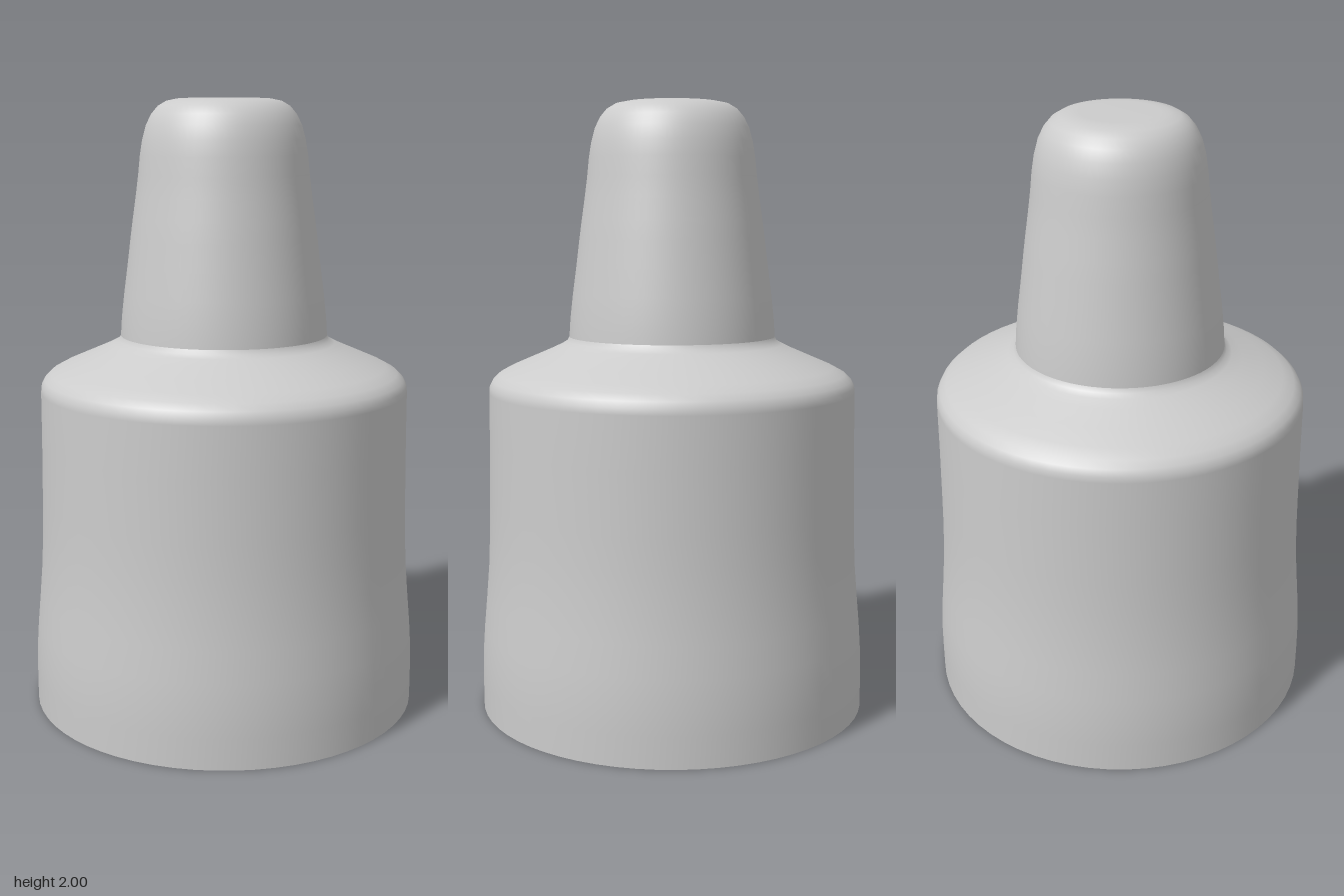
import * as THREE from 'three';

const material = new THREE.MeshStandardMaterial({ color: 0xcccccc, side: THREE.DoubleSide });

// Smooth surface of revolution from [radius, height] pairs, bottom to top
function turned(name, profile) {
  const points = profile.map(([r, y]) => new THREE.Vector2(r, y));
  const mesh = new THREE.Mesh(new THREE.LatheGeometry(points, 64), material);
  mesh.name = name;
  return mesh;
}

export function createModel() {
  const group = new THREE.Group();
  group.name = 'nozzleCap';

  // Hollow skirt, open underneath, with a rounded sloping shoulder
  group.add(turned('body', [
    [0.641, 0], [0.641, 0.1], [0.64, 0.18], [0.634, 0.27], [0.625, 0.37],
    [0.616, 0.48], [0.611, 0.6], [0.609, 0.7], [0.606, 0.9], [0.605, 1.06],
    [0.603, 1.08], [0.593, 1.1], [0.572, 1.12], [0.535, 1.14], [0.47, 1.168],
    [0.4, 1.198], [0.365, 1.215], [0.347, 1.226], [0.34, 1.24],
  ]));

  // Tapered tip with a softly rounded flat top
  group.add(turned('tip', [
    [0.34, 1.24], [0.336, 1.3], [0.327, 1.38], [0.315, 1.47], [0.304, 1.56],
    [0.296, 1.62], [0.286, 1.69], [0.277, 1.76], [0.271, 1.82], [0.263, 1.87],
    [0.251, 1.915], [0.234, 1.95], [0.212, 1.976], [0.185, 1.992],
    [0.15, 1.999], [0.12, 2], [0, 2],
  ]));

  return group;
}
